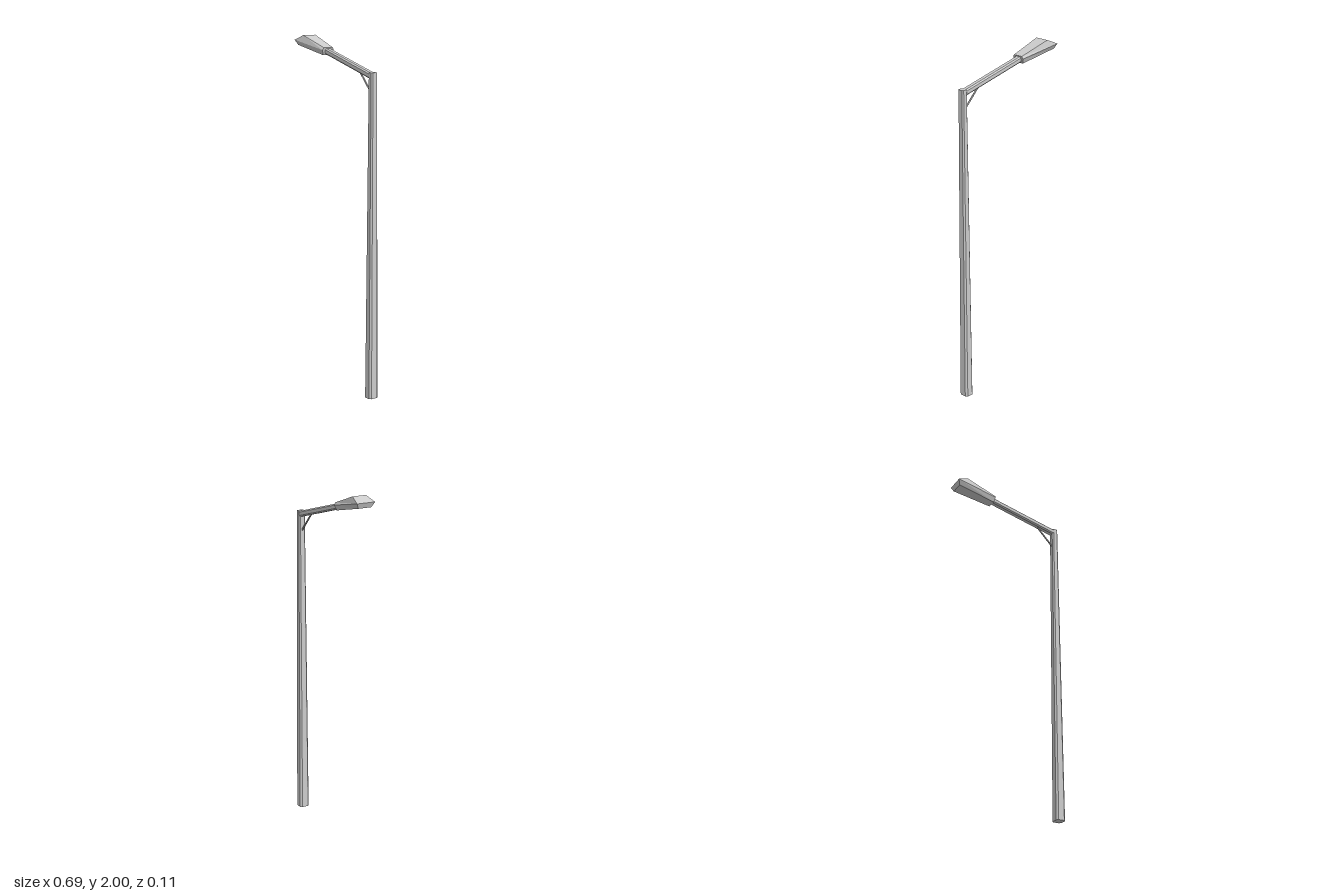
import * as THREE from 'three';

const material = new THREE.MeshStandardMaterial({ color: 0xcccccc, flatShading: true });

// Chamfered rectangle, counter-clockwise, half sizes a and b, chamfer c
const octagon = (a, b, c) => [
  [a, c - b], [a, b - c], [a - c, b], [c - a, b],
  [-a, b - c], [-a, c - b], [c - a, -b], [a - c, -b],
];

// Closed, faceted skin through a list of equally sized rings
function loft(name, rings) {
  const pos = [];
  const tri = (...pts) => pts.forEach((p) => pos.push(...p));
  const n = rings[0].length;
  for (let r = 0; r + 1 < rings.length; r++) {
    const a = rings[r], b = rings[r + 1];
    for (let i = 0; i < n; i++) {
      const j = (i + 1) % n;
      tri(a[i], a[j], b[j]);
      tri(a[i], b[j], b[i]);
    }
  }
  const first = rings[0], last = rings[rings.length - 1];
  for (let i = 1; i + 1 < n; i++) {
    tri(first[0], first[i + 1], first[i]);
    tri(last[0], last[i], last[i + 1]);
  }
  const geometry = new THREE.BufferGeometry();
  geometry.setAttribute('position', new THREE.Float32BufferAttribute(pos, 3));
  geometry.computeVertexNormals();
  const mesh = new THREE.Mesh(geometry, material);
  mesh.name = name;
  return mesh;
}

export function createModel() {
  const group = new THREE.Group();
  group.name = 'streetLamp';

  // Tapered upright pole
  const poleRing = (y, hz, hx, c) => octagon(hz, hx, c).map(([z, x]) => [0.317 + x, y, z]);
  group.add(loft('pole', [poleRing(0, 0.03, 0.028, 0.0105), poleRing(1.826, 0.02, 0.0175, 0.007)]));

  // Arm rising away from the pole
  const armRing = (x, y) => octagon(0.019, 0.017, 0.0075).map(([z, v]) => [x, y + v, z]);
  group.add(loft('arm', [armRing(0.305, 1.809), armRing(-0.11, 1.92)]));

  // Lamp head: six-sided, flaring towards a wedge-shaped outer end
  const headRing = (top, mid, bottom) => [
    mid, top, [top[0], top[1], -top[2]],
    [mid[0], mid[1], -mid[2]], [bottom[0], bottom[1], -bottom[2]], bottom,
  ];
  group.add(loft('lampHead', [
    headRing([-0.093, 1.938, 0.03], [-0.096, 1.925, 0.039], [-0.104, 1.896, 0.028]),
    headRing([-0.28, 2, 0.042], [-0.346, 1.972, 0.057], [-0.334, 1.943, 0.041]),
  ]));

  // Thin diagonal brace under the arm
  const from = new THREE.Vector3(0.305, 1.713, 0), to = new THREE.Vector3(0.2, 1.825, 0);
  const dir = to.clone().sub(from);
  const brace = new THREE.Mesh(new THREE.CylinderGeometry(0.005, 0.005, dir.length(), 6), material);
  brace.name = 'brace';
  brace.position.copy(from).lerp(to, 0.5);
  brace.quaternion.setFromUnitVectors(new THREE.Vector3(0, 1, 0), dir.normalize());
  group.add(brace);

  return group;
}
